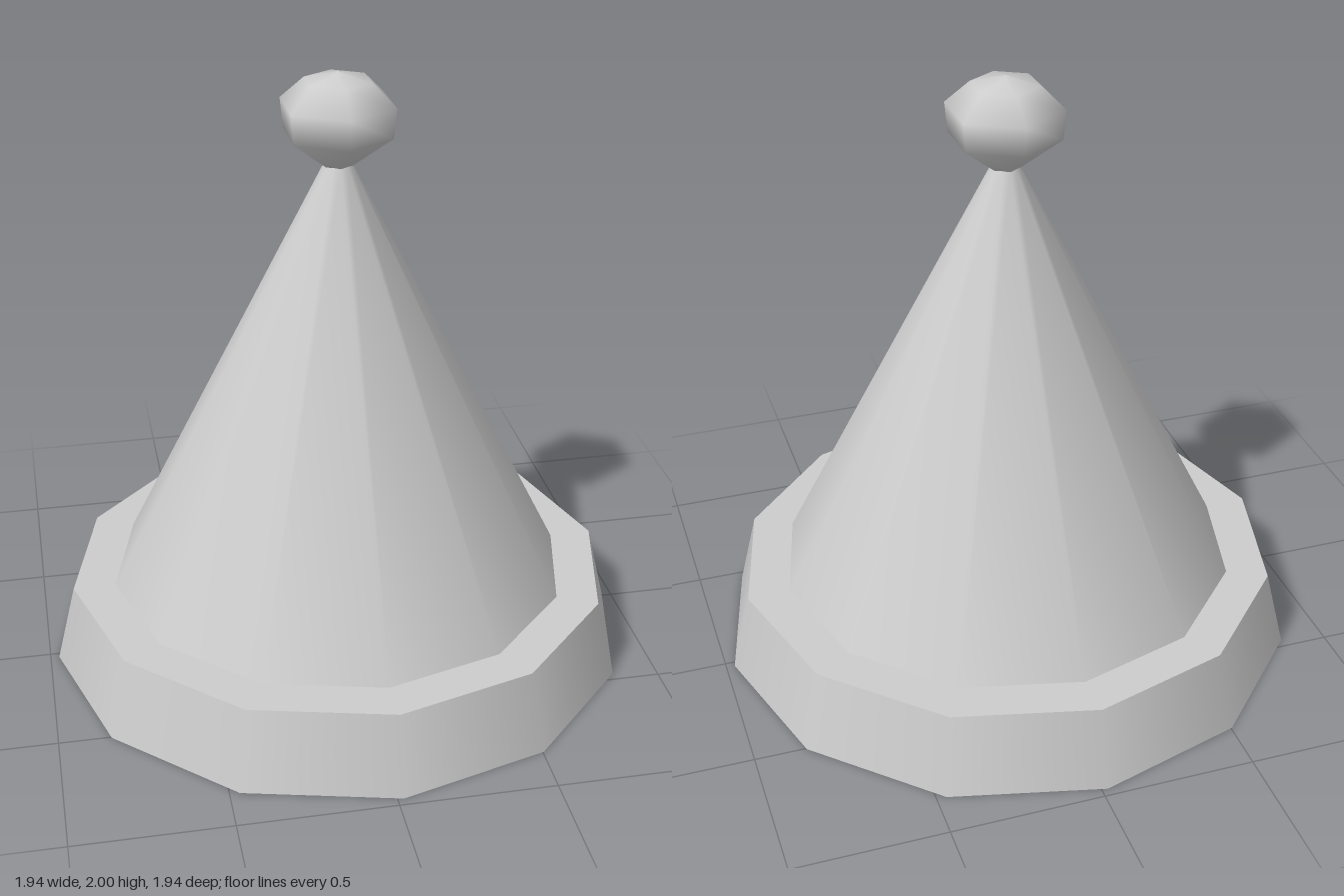
import * as THREE from 'three';

const TURN = 0.021; // slight twist shared by all parts

export function createModel() {
  const group = new THREE.Group();
  const grey = new THREE.MeshStandardMaterial({ color: 0xcccccc });
  grey.name = 'light grey';

  const add = (name, geometry, y = 0) => {
    const mesh = new THREE.Mesh(geometry, grey);
    mesh.name = name;
    mesh.position.y = y;
    group.add(mesh);
  };

  // Twelve-sided flared brim, closed above and below
  add('brim', new THREE.CylinderGeometry(0.907, 0.972, 0.265, 12, 1, false, TURN), 0.1325);

  // Tapered cone standing on the brim
  add('cone', new THREE.CylinderGeometry(0.045, 0.766, 1.44, 12, 1, true, TURN), 0.265 + 0.72);

  // Six-sided smooth bobble at the tip
  const profile = [
    [0.05, 1.703], [0.18, 1.803], [0.19, 1.9], [0.11, 1.973], [0, 2],
  ].map(([r, y]) => new THREE.Vector2(r, y));
  add('bobble', new THREE.LatheGeometry(profile, 6, TURN));

  return group;
}
